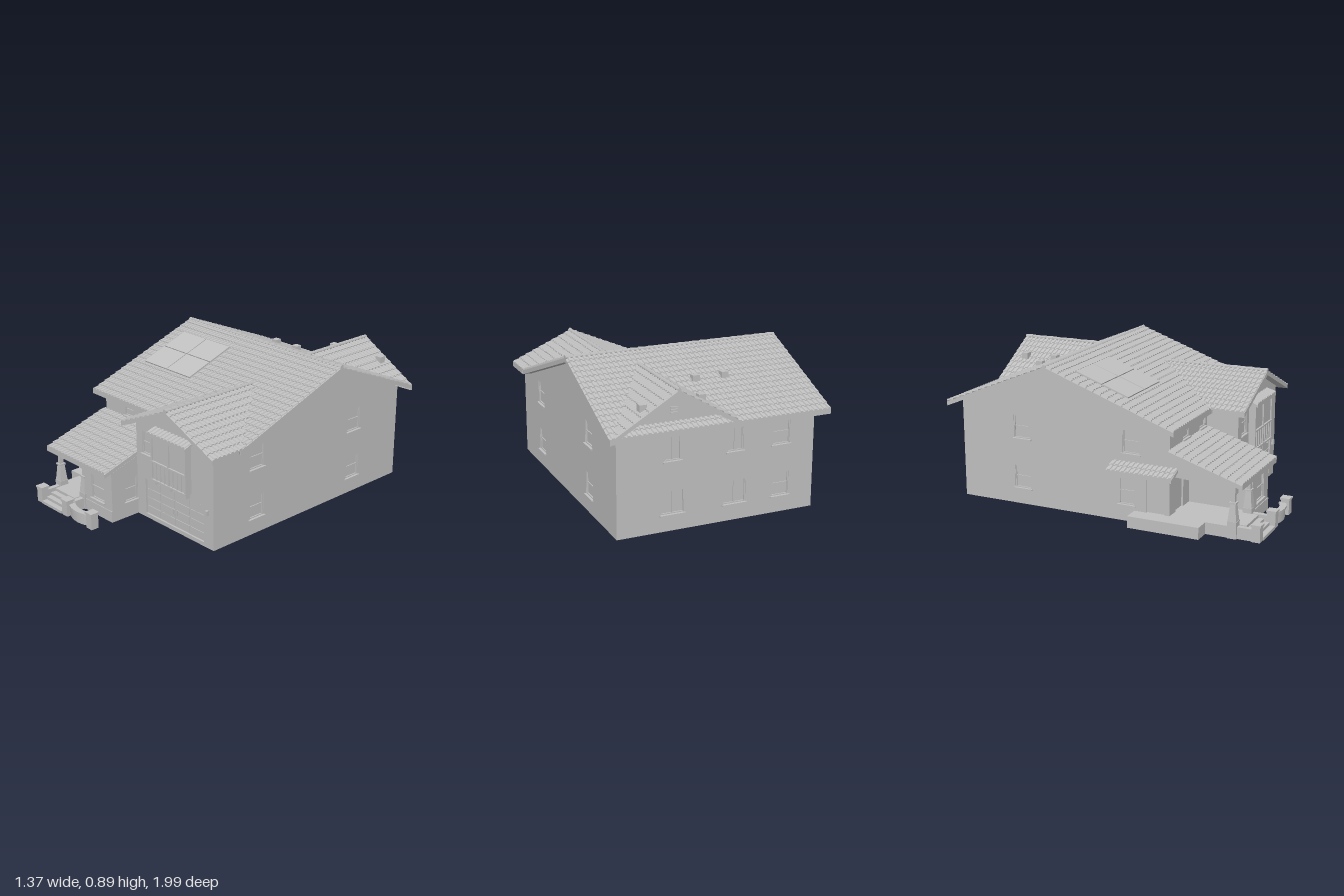
import * as THREE from 'three';

const stone = new THREE.MeshStandardMaterial({ color: 0xc0c0c0, side: THREE.DoubleSide });
stone.name = 'plain grey';

function add(parent, name, geo, x = 0, y = 0, z = 0) {
  const m = new THREE.Mesh(geo, stone);
  m.name = name;
  m.position.set(x, y, z);
  parent.add(m);
  return m;
}
// box centred on x and z, standing on y
const box = (parent, name, w, h, d, x, y, z) =>
  add(parent, name, new THREE.BoxGeometry(w, h, d), x, y + h / 2, z);

function sub(parent, name, x, y, z, turn = 0) {
  const g = new THREE.Group();
  g.name = name;
  g.position.set(x, y, z);
  g.rotation.y = turn;
  parent.add(g);
  return g;
}
const shapeOf = pts => new THREE.Shape(pts.map(p => new THREE.Vector2(p[0], p[1])));
const rect = (x, y, w, h) => [[x - w / 2, y], [x + w / 2, y], [x + w / 2, y + h], [x - w / 2, y + h]];

// wall slab with openings [centre x, bottom y, width, height, kind]; outer face at local z = 0
const T = 0.02;
function wall(parent, name, x, z, turn, pts, openings = []) {
  const g = sub(parent, name, x, 0, z, turn);
  const s = shapeOf(pts);
  for (const [cx, y, w, h] of openings) s.holes.push(shapeOf(rect(cx, y, w, h)));
  add(g, name + 'Slab', new THREE.ExtrudeGeometry(s, { depth: T, bevelEnabled: false }), 0, 0, -T);
  for (const [cx, y, w, h, kind = 'sash'] of openings) {
    box(g, 'pane', w, h, 0.004, cx, y, -0.014);
    if (kind === 'garage' || kind === 'door') continue;
    const ring = shapeOf(rect(cx, y, w, h));
    ring.holes.push(shapeOf(rect(cx, y + 0.006, w - 0.012, h - 0.012)));
    add(g, 'windowFrame', new THREE.ExtrudeGeometry(ring, { depth: 0.008, bevelEnabled: false }), 0, 0, -0.012);
    if (kind === 'sash') box(g, 'sashBar', w, 0.006, 0.006, cx, y + h / 2, -0.009);
    else box(g, 'mullion', 0.008, h, 0.006, cx, y, -0.009);
    box(g, 'sill', w + 0.016, 0.008, 0.024, cx, y - 0.008, 0);
  }
  return g;
}

// tiled slope falling toward local +z; range(d) gives its ends in local x at run d
function slope(parent, name, origin, turn, k, len, range, thick = 0.025) {
  const g = sub(parent, name, ...origin, turn);
  const [a0, b0] = range(0), [a1, b1] = range(len);
  const slab = new THREE.ExtrudeGeometry(shapeOf([[a1, -len], [b1, -len], [b0, 0], [a0, 0]]),
    { depth: thick, bevelEnabled: false });
  const p = slab.attributes.position;
  for (let i = 0; i < p.count; i++) {
    const Y = p.getY(i), Z = p.getZ(i);
    p.setXYZ(i, p.getX(i), Z - thick + k * Y, -Y);
  }
  slab.computeVertexNormals();
  add(g, name + 'Deck', slab);

  const rows = Math.max(1, Math.round(len / 0.045)), v = [];
  const quad = (a, b, c, d) => v.push(...a, ...b, ...c, ...a, ...c, ...d);
  for (let r = 0; r < rows; r++) {
    const d0 = len * r / rows, d1 = len * (r + 1) / rows;
    const [xa, xb] = range(d0);
    const n = Math.max(1, Math.round((xb - xa) / 0.03)), w = (xb - xa) / n;
    const prof = [];
    for (let i = 0; i < n; i++)
      for (const [f, h] of [[0, 0.001], [0.35, 0.001], [0.45, 0.008], [0.9, 0.008]])
        prof.push([xa + (i + f) * w, h]);
    prof.push([xb, 0.001]);
    const at = (q, d, lift) => [q[0], q[1] + lift - k * d, d];
    for (let i = 0; i + 1 < prof.length; i++) {
      const q = prof[i], s = prof[i + 1];
      const D = at(q, d1, 0.007), C = at(s, d1, 0.007);
      quad(at(q, d0, 0), D, C, at(s, d0, 0));
      quad([q[0], -k * d1, d1], [s[0], -k * d1, d1], C, D);
    }
  }
  const geo = new THREE.BufferGeometry();
  geo.setAttribute('position', new THREE.Float32BufferAttribute(v, 3));
  geo.computeVertexNormals();
  add(g, name + 'Tiles', geo);
  return g;
}

// ridge cap of overlapping segments
function ridge(parent, name, x, y, z, length, alongX) {
  const g = sub(parent, name, x, y, z, alongX ? Math.PI / 2 : 0);
  const n = Math.round(length / 0.05), s = length / n;
  for (let i = 0; i < n; i++) {
    const c = new THREE.CylinderGeometry(0.015, 0.012, s, 6);
    c.rotateX(Math.PI / 2);
    add(g, 'ridgeTile', c, 0, 0, -length / 2 + (i + 0.5) * s);
  }
}

export function createModel() {
  const house = new THREE.Group();
  house.name = 'house';
  const Q = Math.PI / 2;

  // main walls
  const sideWin = s => [[0.52 * s, 0.41, 0.11, 0.14], [0.52 * s, 0.1, 0.11, 0.14]];
  wall(house, 'rightWall', 0.62, 0, Q,
    [[-0.64, 0], [0.93, 0], [0.93, 0.605], [0.325, 0.85], [-0.44, 0.588], [-0.64, 0.59]],
    [...sideWin(1), [-0.305, 0.41, 0.11, 0.14], [-0.305, 0.1, 0.11, 0.14]]);
  wall(house, 'leftWall', -0.59, 0, -Q,
    [[-0.93, 0], [0.44, 0], [0.44, 0.582], [-0.325, 0.85], [-0.93, 0.605]],
    [...sideWin(-1), [0.2, 0.41, 0.11, 0.14], [0.17, 0.1, 0.1, 0.16], [0.35, 0.07, 0.11, 0.21, 'door']]);
  wall(house, 'backWall', 0, -0.93, Math.PI,
    [[-0.62, 0], [0.59, 0], [0.59, 0.605], [0.05, 0.605], [-0.285, 0.8], [-0.62, 0.605]],
    [[-0.29, 0.41, 0.1, 0.14, 'pair'], [0.09, 0.41, 0.1, 0.14, 'pair'], [0.38, 0.41, 0.11, 0.14],
      [-0.29, 0.1, 0.14, 0.14, 'pair'], [0.09, 0.1, 0.14, 0.14, 'pair'], [0.38, 0.1, 0.11, 0.14]]);
  for (let i = 0; i < 3; i++) box(house, 'gableVent', 0.04, 0.008, 0.01, 0.285, 0.68 + i * 0.015, -0.933);
  wall(house, 'frontLeftWall', 0, 0.44, 0, rect(-0.3175, 0, 0.545, 0.582),
    [[-0.36, 0.475, 0.085, 0.075], [-0.115, 0.475, 0.085, 0.075], [-0.45, 0.07, 0.11, 0.21, 'door']]);
  wall(house, 'garageSideWall', -0.045, 0, -Q, rect(0.54, 0, 0.2, 0.588));
  const front = wall(house, 'garageFrontWall', 0, 0.64, 0,
    [[-0.045, 0], [0.62, 0], [0.62, 0.588], [0.285, 0.732], [-0.045, 0.59]],
    [[0.0525, 0.41, 0.085, 0.14], [0.285, 0.025, 0.51, 0.225, 'garage']]);

  // garage door panels, handles and lamp
  for (let r = 0; r < 4; r++)
    for (let c = 0; c < 4; c++)
      box(front, 'garagePanel', 0.115, 0.046, 0.006, 0.094 + c * 0.1275, 0.03 + r * 0.056, -0.011);
  for (const x of [0.27, 0.305]) box(front, 'garageHandle', 0.005, 0.03, 0.008, x, 0.105, -0.006);
  box(front, 'wallLamp', 0.016, 0.03, 0.016, 0.573, 0.207, 0.008);

  // bay window with slatted apron and brackets
  const bay = sub(front, 'bayWindow', 0.285, 0, 0);
  box(bay, 'bayBody', 0.29, 0.28, 0.035, 0, 0.295, 0.0175);
  for (const y of [0.29, 0.405, 0.565]) box(bay, 'bayRail', 0.302, 0.01, 0.046, 0, y, 0.023);
  for (const x of [-0.145, 0, 0.145]) {
    box(bay, 'bayPost', 0.012, 0.28, 0.044, x, 0.295, 0.022);
    box(bay, 'bayBracket', 0.012, 0.03, 0.03, x * 0.92, 0.262, 0.015);
  }
  for (let i = -3; i <= 3; i++) box(bay, 'baySlat', 0.006, 0.11, 0.006, i * 0.036, 0.297, 0.038);
  slope(bay, 'bayRoof', [0, 0.605, 0], 0, 0.4, 0.06, () => [-0.165, 0.165], 0.015);

  // main roof and cross gables
  slope(house, 'mainRoofFront', [0, 0.875, -0.325], 0, 0.356, 0.815, () => [-0.655, 0.68]);
  slope(house, 'mainRoofBack', [0, 0.875, -0.325], Math.PI, 0.41, 0.675, () => [-0.68, 0.655]);
  slope(house, 'frontGableRight', [0.285, 0.757, 0], Q, 0.435, 0.395, d => [-0.7, -0.012 - 1.24 * d]);
  slope(house, 'frontGableLeft', [0.285, 0.757, 0], -Q, 0.435, 0.395, d => [0.012 + 1.24 * d, 0.7]);
  slope(house, 'backGableRight', [0.285, 0.825, 0], Q, 0.59, 0.395, d => [0.44 + 1.39 * d, 1]);
  slope(house, 'backGableLeft', [0.285, 0.825, 0], -Q, 0.59, 0.395, d => [-1, -0.44 - 1.39 * d]);
  ridge(house, 'mainRidge', 0.0125, 0.877, -0.325, 1.335, true);
  ridge(house, 'frontGableRidge', 0.285, 0.76, 0.355, 0.69, false);
  ridge(house, 'backGableRidge', 0.285, 0.828, -0.72, 0.56, false);

  // solar panels on the front slope
  const solar = sub(house, 'solarPanels', -0.33, 0.875 - 0.356 * 0.317 + 0.02, -0.008);
  solar.rotation.x = Math.atan(0.356);
  for (const x of [-0.108, 0.108])
    for (const z of [-0.09, 0.09]) box(solar, 'solarPanel', 0.21, 0.008, 0.174, x, -0.004, z);

  // roof vents
  for (const [x, y, z] of [[-0.16, 0.745, -0.635], [0.02, 0.745, -0.635], [0.11, 0.72, -0.9], [0.47, 0.715, -0.93]])
    box(house, 'roofVent', 0.042, 0.04, 0.042, x, y, z);

  // front room beside the porch
  wall(house, 'roomFrontWall', 0, 0.835, 0, rect(-0.1775, 0, 0.265, 0.312), [[-0.18, 0.1, 0.12, 0.15]]);
  wall(house, 'roomRightWall', -0.045, 0, Q,
    [[-0.835, 0], [-0.62, 0], [-0.62, 0.378], [-0.835, 0.312]], [[-0.69, 0.1, 0.09, 0.15]]);
  wall(house, 'roomLeftWall', -0.31, 0, -Q, [[0.44, 0], [0.835, 0], [0.835, 0.312], [0.44, 0.432]]);

  // porch roof, beams, floor and columns
  slope(house, 'porchRoof', [0, 0.46, 0.44], 0, 0.31, 0.445, () => [-0.615, -0.045]);
  wall(house, 'porchGable', -0.59, 0, -Q, [[0.44, 0.31], [0.835, 0.285], [0.835, 0.312], [0.44, 0.432]]);
  box(house, 'porchBeam', 0.28, 0.03, 0.03, -0.45, 0.285, 0.82);
  box(house, 'porchFloor', 0.545, 0.07, 0.4, -0.3175, 0, 0.64);
  for (const x of [-0.57, -0.325]) {
    const col = sub(house, 'porchColumn', x, 0, 0.82);
    box(col, 'columnBase', 0.055, 0.1, 0.055, 0, 0, 0);
    const taper = new THREE.CylinderGeometry(0.022, 0.036, 0.1, 4);
    taper.rotateY(Math.PI / 4);
    add(col, 'columnTaper', taper.toNonIndexed(), 0, 0.15, 0).geometry.computeVertexNormals();
    box(col, 'columnCap', 0.042, 0.01, 0.042, 0, 0.2, 0);
    box(col, 'columnShaft', 0.024, 0.1, 0.024, 0, 0.2, 0);
    box(col, 'columnBracket', 0.045, 0.035, 0.02, x < -0.4 ? 0.02 : -0.02, 0.25, 0);
  }

  // front steps, pedestals and curved garden wall
  for (let i = 0; i < 4; i++) box(house, 'step', 0.195, 0.0175 * (i + 1), 0.16 - i * 0.034, -0.445, 0, 0.91 - i * 0.017);
  for (const x of [-0.57, -0.315, -0.075]) {
    box(house, 'pedestal', 0.05, 0.09, 0.05, x, 0, 0.962);
    box(house, 'pedestalCap', 0.06, 0.012, 0.06, x, 0.09, 0.962);
  }
  for (const x of [-0.57, -0.325]) box(house, 'stepCheek', 0.03, 0.07, 0.12, x, 0, 0.89);
  const arc = (name, r0, r1, y, h) => {
    const s = new THREE.Shape();
    s.absarc(0, 0, r1, -Q - 0.6, -Q + 0.6, false);
    s.absarc(0, 0, r0, -Q + 0.6, -Q - 0.6, true);
    const geo = new THREE.ExtrudeGeometry(s, { depth: h, bevelEnabled: false, curveSegments: 8 });
    geo.rotateX(-Q);
    add(house, name, geo, -0.195, y, 0.785);
  };
  arc('curvedWall', 0.175, 0.2, 0, 0.06);
  arc('curvedWallCap', 0.168, 0.207, 0.06, 0.014);

  // side landing and awning
  box(house, 'sideLanding', 0.1, 0.07, 0.44, -0.64, 0, 0.44);
  slope(house, 'sideAwning', [-0.59, 0.355, 0], -Q, 0.4, 0.092, () => [0.08, 0.49], 0.018);

  return house;
}
